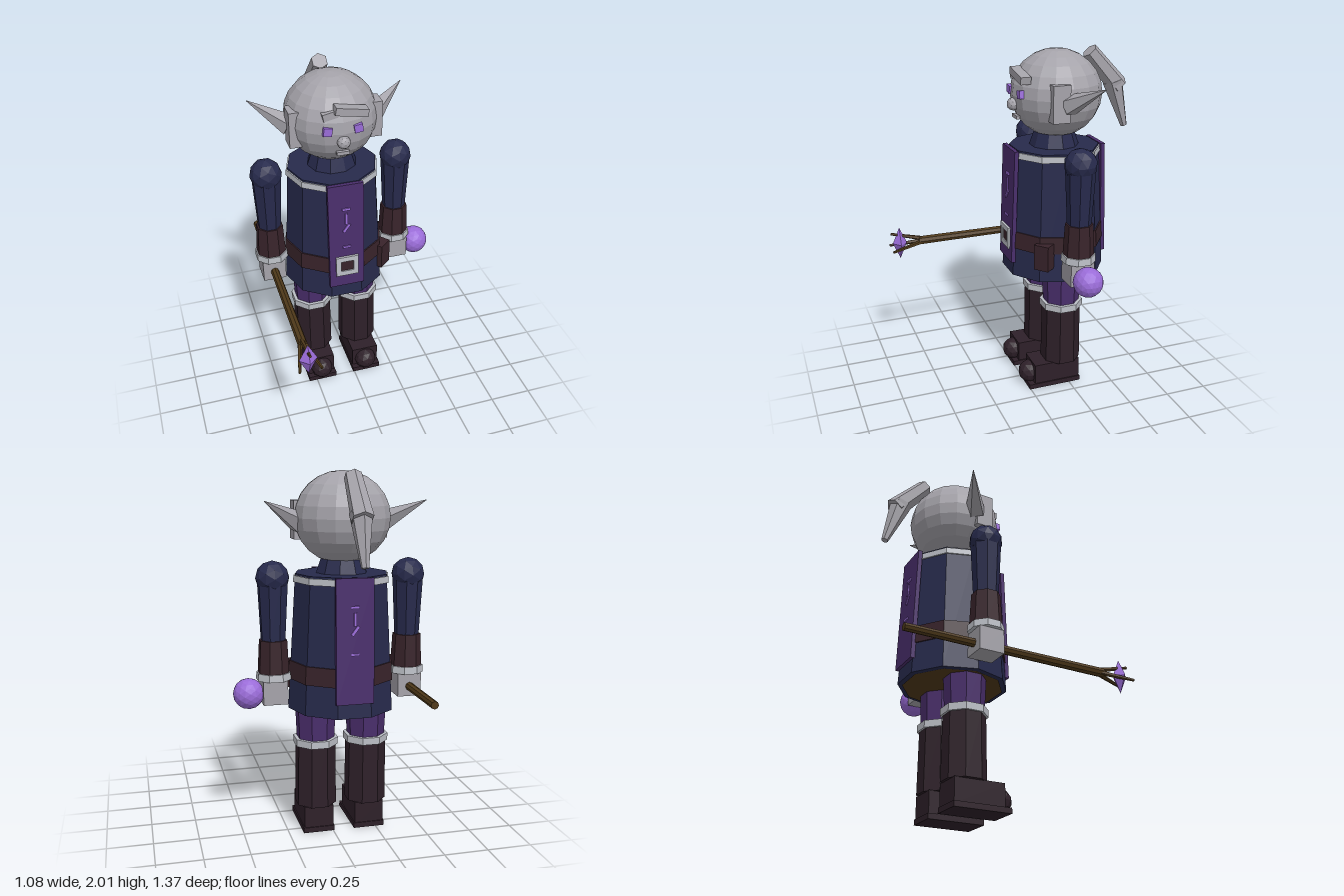
import * as THREE from 'three';

const paint = (name, color) => {
  const m = new THREE.MeshStandardMaterial({ color, flatShading: true });
  m.name = name;
  return m;
};

export function createModel() {
  const skin = paint('grey skin', 0xa5a3aa);
  const trim = paint('silver trim', 0xbcbfc6);
  const navy = paint('navy cloth', 0x272a4c);
  const purple = paint('purple cloth', 0x4a2e6c);
  const violet = paint('violet glow', 0x9a6cd8);
  const leather = paint('brown leather', 0x38232a);
  const boot = paint('dark boot', 0x2e2029);
  const wood = paint('wood', 0x503a1a);

  const CX = -0.065, CZ = -0.222; // body axis
  const model = new THREE.Group();
  model.name = 'mageFigure';

  const add = (name, geo, mat, x, y, z, parent = model) => {
    const mesh = new THREE.Mesh(geo, mat);
    mesh.name = name;
    mesh.position.set(x, y, z);
    parent.add(mesh);
    return mesh;
  };
  const box = (w, h, d) => new THREE.BoxGeometry(w, h, d);
  const ball = (r, detail = 1) => new THREE.IcosahedronGeometry(r, detail);
  // Upright tapered prism between two heights
  const column = (name, mat, x, z, y0, y1, r0, r1, sides = 8, parent = model) =>
    add(name, new THREE.CylinderGeometry(r1, r0, y1 - y0, sides, 1, false, Math.PI / sides),
      mat, x, (y0 + y1) / 2, z, parent);
  // Tapered rod between two points
  const rod = (name, mat, a, b, ra, rb, sides = 6, parent = model) => {
    const p = new THREE.Vector3(...a), q = new THREE.Vector3(...b);
    const mid = p.clone().add(q).multiplyScalar(0.5);
    const mesh = add(name, new THREE.CylinderGeometry(rb, ra, p.distanceTo(q), sides), mat, mid.x, mid.y, mid.z, parent);
    mesh.quaternion.setFromUnitVectors(new THREE.Vector3(0, 1, 0), q.sub(p).normalize());
    return mesh;
  };

  // Head
  const head = new THREE.Group();
  head.name = 'head';
  model.add(head);
  add('skull', new THREE.SphereGeometry(0.26, 16, 12), skin, CX, 1.755, -0.23, head).scale.y = 0.945;
  for (const s of [-1, 1]) {
    add('sideLock', box(0.075, 0.205, 0.1), skin, CX + s * 0.222, 1.742, -0.16, head);
    rod('ear', skin, [CX + s * 0.235, 1.73, -0.21], [CX + s * 0.437, 1.845, -0.33], 0.062, 0.002, 5, head);
    add('eye', box(0.047, 0.045, 0.035), violet, CX + s * 0.084, 1.775, 0.008, head).rotation.z = s * 0.15;
  }
  add('nose', ball(0.037), skin, CX, 1.708, 0.025, head);
  add('mouth', box(0.07, 0.02, 0.02), skin, CX, 1.637, 0.008, head);
  add('fringeLeft', box(0.18, 0.042, 0.06), skin, -0.018, 1.873, 0, head).rotation.z = -0.18;
  add('fringeRight', box(0.12, 0.04, 0.05), skin, -0.11, 1.86, -0.02, head).rotation.z = 0.2;

  // Ponytail in two bent lengths
  rod('ponytailRoot', skin, [CX, 1.975, -0.43], [CX, 1.765, -0.615], 0.047, 0.06, 6, head);
  rod('ponytailTip', skin, [CX, 1.8, -0.58], [CX, 1.53, -0.665], 0.062, 0.02, 6, head);

  // Coat, a ten-sided flare with bands
  const coatR = (y) => 0.3 - (y - 0.715) * 0.057;
  const band = (name, mat, y0, y1, grow) => {
    const mesh = column(name, mat, CX, CZ, y0, y1, coatR(y0) + grow, coatR(y1) + grow, 10);
    return mesh;
  };
  band('coat', navy, 0.715, 1.46, 0);
  band('belt', leather, 0.885, 0.985, 0.008);
  band('collarTrim', trim, 1.415, 1.45, 0.008);
  add('coatLining', new THREE.CircleGeometry(0.275, 10), wood, CX, 0.711, CZ).rotation.x = Math.PI / 2;
  column('collar', navy, CX, CZ, 1.45, 1.54, 0.145, 0.115, 10);
  add('pouch', box(0.09, 0.15, 0.075), leather, 0.185, 0.875, -0.07).rotation.y = 0.7;

  // Tabard panels with glowing marks, front and back
  for (const s of [1, -1]) {
    const panel = new THREE.Group();
    panel.name = s > 0 ? 'frontTabard' : 'backTabard';
    panel.position.set(CX, 1.128, CZ + s * 0.274);
    panel.rotation.order = 'YXZ';
    panel.rotation.set(-0.035, s > 0 ? 0 : Math.PI, 0);
    model.add(panel);
    add('cloth', box(0.205, 0.665, 0.024), purple, 0, 0, 0, panel);
    const mark = (w, h, y, turn = 0) =>
      add('glowMark', box(w, h, 0.008), violet, 0, y, 0.015, panel).rotation.z = turn;
    mark(0.045, 0.014, 0.182);
    mark(0.014, 0.07, 0.12);
    mark(0.016, 0.06, 0.06, -0.65);
    mark(0.045, 0.012, -0.065);
  }

  // Buckle frame
  const frame = new THREE.Shape([[-0.066, -0.064], [0.066, -0.064], [0.066, 0.064], [-0.066, 0.064]]
    .map((p) => new THREE.Vector2(...p)));
  frame.holes.push(new THREE.Path([[-0.037, -0.033], [-0.037, 0.033], [0.037, 0.033], [0.037, -0.033]]
    .map((p) => new THREE.Vector2(...p))));
  add('buckle', new THREE.ExtrudeGeometry(frame, { depth: 0.02, bevelEnabled: false }), trim, CX, 0.935, 0.062);
  add('buckleCentre', box(0.076, 0.068, 0.008), leather, CX, 0.935, 0.071);

  // Arms and legs
  for (const s of [-1, 1]) {
    const side = s > 0 ? 'left' : 'right';
    const arm = new THREE.Group();
    arm.name = side + 'Arm';
    model.add(arm);
    const ax = CX + s * 0.381;
    add('shoulder', ball(0.092), navy, ax, 1.44, CZ, arm);
    column('sleeve', navy, ax, CZ, 1.1, 1.44, 0.068, 0.085, 8, arm);
    column('bracer', leather, ax, CZ, 0.92, 1.105, 0.088, 0.078, 8, arm);
    column('cuff', trim, ax, CZ, 0.885, 0.925, 0.098, 0.095, 8, arm);
    add('hand', box(0.135, 0.13, 0.14), skin, ax, 0.82, CZ, arm);

    const leg = new THREE.Group();
    leg.name = side + 'Leg';
    model.add(leg);
    const lx = CX + s * 0.146;
    column('trouser', purple, lx, CZ, 0.5, 0.76, 0.105, 0.117, 8, leg);
    column('kneeBand', trim, lx, CZ, 0.5, 0.54, 0.127, 0.127, 8, leg);
    column('bootShaft', boot, lx, CZ, 0.15, 0.505, 0.118, 0.114, 8, leg);
    add('foot', box(0.165, 0.135, 0.285), boot, lx, 0.085, -0.172, leg);
    add('sole', box(0.178, 0.03, 0.325), boot, lx, 0.015, -0.157, leg);
    add('toeCap', ball(0.068), boot, lx, 0.078, -0.022, leg);
  }

  // Orb beside the left hand
  add('orb', ball(0.085, 2), violet, 0.455, 0.81, CZ);

  // Staff held level in the right hand, with a three-pronged claw and crystal
  const staff = new THREE.Group();
  staff.name = 'staff';
  staff.position.set(-0.446, 0.812, 0);
  model.add(staff);
  rod('shaft', wood, [0, 0, -0.68], [0, 0, 0.51], 0.022, 0.027, 8, staff);
  for (let i = 0; i < 3; i++) {
    const a = Math.PI / 2 + i * Math.PI * 2 / 3, c = Math.cos(a), n = Math.sin(a);
    rod('prong', wood, [c * 0.012, n * 0.012, 0.49], [c * 0.07, n * 0.065, 0.68], 0.014, 0.008, 5, staff);
  }
  add('crystal', new THREE.OctahedronGeometry(1), violet, 0, 0, 0.628, staff).scale.set(0.05, 0.1, 0.043);

  return model;
}
